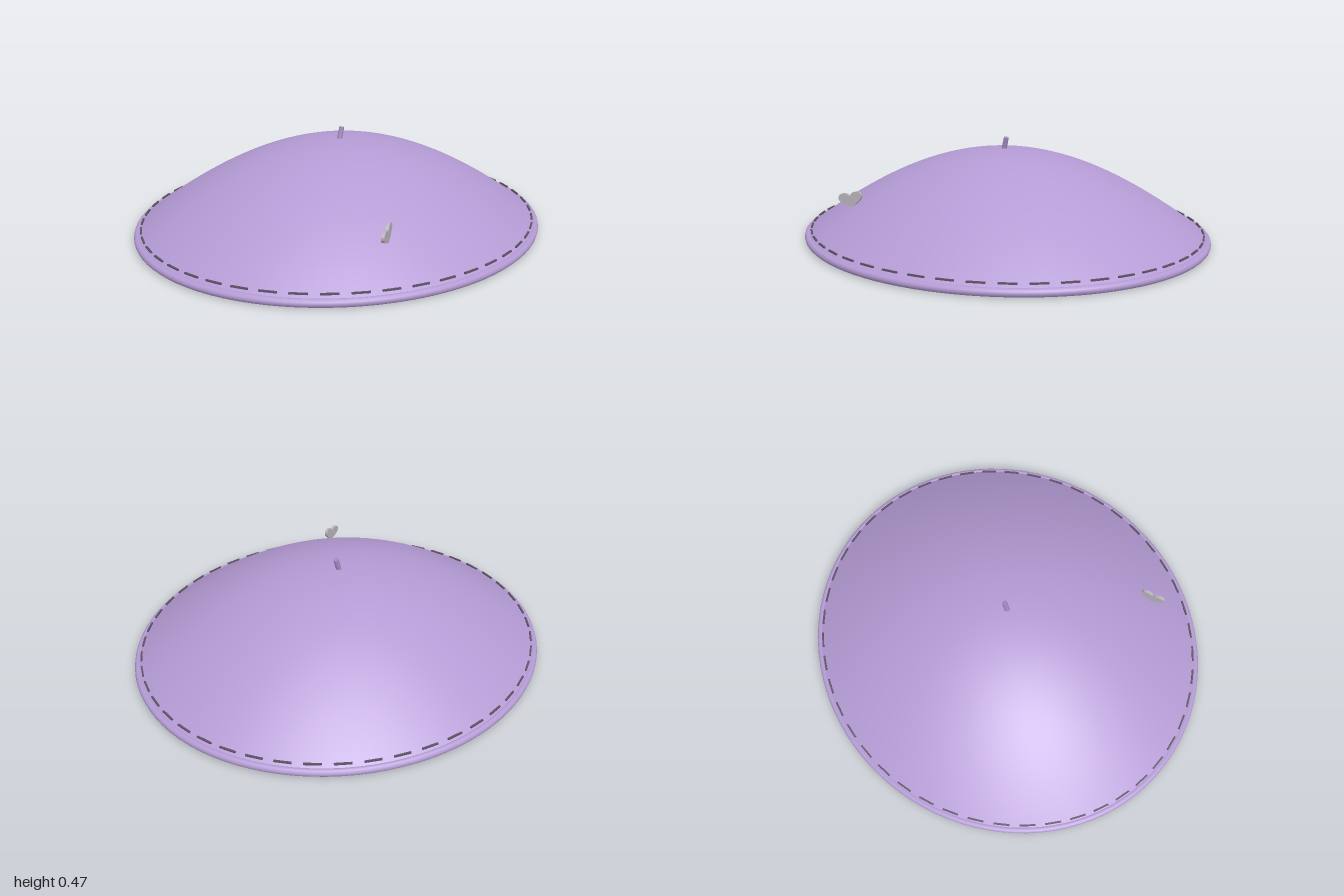
import * as THREE from 'three';

const DEPTH = 0.925; // the hat is slightly shorter front to back

function material(name, color, side = THREE.FrontSide) {
  const m = new THREE.MeshStandardMaterial({ color, side });
  m.name = name;
  return m;
}

function addMesh(parent, name, geometry, mat) {
  const mesh = new THREE.Mesh(geometry, mat);
  mesh.name = name;
  parent.add(mesh);
  return mesh;
}

// Height of the crown at radius r, flaring softly toward the rim
function crownHeight(r) {
  const t = r / 0.985;
  return 0.028 + 0.385 * (0.5 * (1 - t * t) + 0.5 * Math.cos(t * Math.PI / 2));
}

export function createModel() {
  const group = new THREE.Group();
  group.name = 'beret';
  const felt = material('lilac felt', 0xb49bd4, THREE.DoubleSide);
  const stemFelt = material('stem felt', 0xa28cc0);
  const thread = material('dark thread', 0x5f5468);
  const silver = material('silver', 0xb9b2ba);

  // Crown: open shallow dome
  const profile = [];
  for (let i = 0; i <= 32; i++) {
    const r = 0.985 * (1 - i / 32);
    profile.push(new THREE.Vector2(r, crownHeight(r)));
  }
  addMesh(group, 'crown', new THREE.LatheGeometry(profile, 96), felt).scale.z = DEPTH;

  // Rolled rim
  const rimGeometry = new THREE.TorusGeometry(0.982, 0.018, 12, 96);
  rimGeometry.rotateX(Math.PI / 2);
  const rim = addMesh(group, 'rim', rimGeometry, felt);
  rim.position.y = 0.018;
  rim.scale.z = DEPTH;

  // Ring of stitches just above the rim
  const stitches = new THREE.Group();
  stitches.name = 'stitches';
  group.add(stitches);
  const stitchGeometry = new THREE.BoxGeometry(0.075, 0.007, 0.008);
  const count = 48;
  for (let i = 0; i < count; i++) {
    const a = (i / count) * Math.PI * 2;
    const x = 0.966 * Math.sin(a);
    const z = 0.966 * DEPTH * Math.cos(a);
    const stitch = addMesh(stitches, 'stitch', stitchGeometry, thread);
    stitch.position.set(x, 0.049, z);
    stitch.rotation.y = Math.atan2(DEPTH * Math.sin(a), Math.cos(a));
  }

  // Tilted stem on top
  const stem = addMesh(group, 'stem', new THREE.CylinderGeometry(0.012, 0.013, 0.075, 12), stemFelt);
  stem.position.set(0.005, 0.43, 0);
  stem.rotation.z = -0.26;

  // Heart pin on the front
  const heart = new THREE.Shape();
  heart.moveTo(0, -0.036);
  heart.bezierCurveTo(-0.02, -0.02, -0.06, -0.008, -0.06, 0.014);
  heart.bezierCurveTo(-0.06, 0.042, -0.012, 0.044, 0, 0.016);
  heart.bezierCurveTo(0.012, 0.044, 0.06, 0.042, 0.06, 0.014);
  heart.bezierCurveTo(0.06, -0.008, 0.02, -0.02, 0, -0.036);
  const pinGeometry = new THREE.ExtrudeGeometry(heart, { depth: 0.014, bevelEnabled: false, curveSegments: 10 });
  pinGeometry.translate(0, 0, -0.007);
  const pin = addMesh(group, 'heartPin', pinGeometry, silver);
  pin.position.set(-0.362, 0.199, 0.633);
  pin.rotation.set(0, 0.46, 0.2);

  return group;
}
